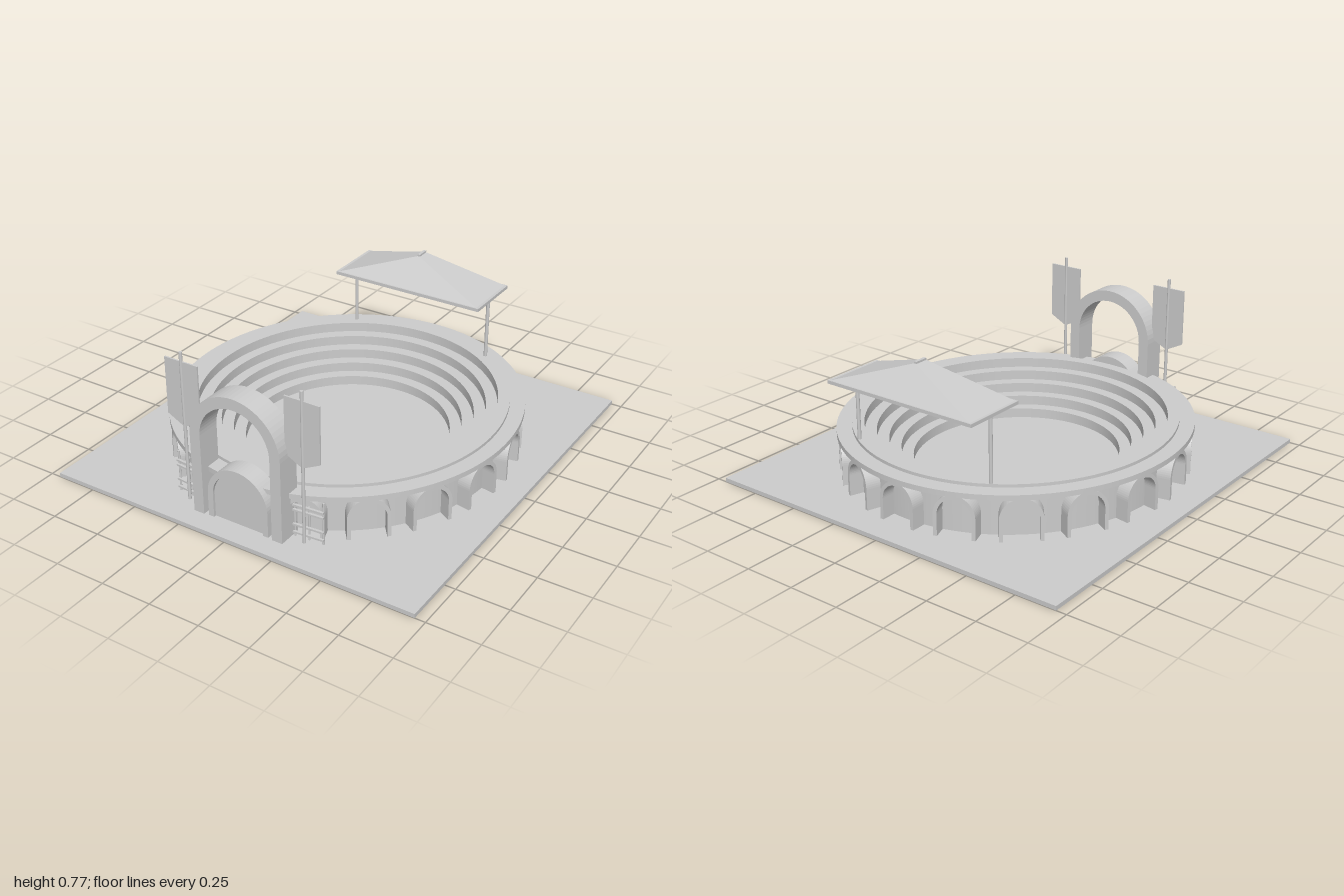
import * as THREE from 'three';

const stone = new THREE.MeshStandardMaterial({ color: 0xcccccc });
stone.name = 'pale stone';
const stoneSheet = new THREE.MeshStandardMaterial({ color: 0xcccccc, side: THREE.DoubleSide });
stoneSheet.name = 'pale stone sheet';

const GROUND = 0.02;

function add(parent, name, geometry, x = 0, y = 0, z = 0, material = stone) {
  const mesh = new THREE.Mesh(geometry, material);
  mesh.name = name;
  mesh.position.set(x, y, z);
  parent.add(mesh);
  return mesh;
}

function box(parent, name, w, h, d, x, y, z) {
  return add(parent, name, new THREE.BoxGeometry(w, h, d), x, y, z);
}

function post(parent, name, radius, y0, y1, x, z) {
  return add(parent, name, new THREE.CylinderGeometry(radius, radius, y1 - y0, 10), x, (y0 + y1) / 2, z);
}

// Round-headed arch standing on y = 0; thickness 0 gives a filled panel
function archGeometry(half, height, thickness, depth) {
  const spring = height - half;
  const shape = new THREE.Shape();
  shape.moveTo(half, 0);
  shape.lineTo(half, spring);
  shape.absarc(0, spring, half, 0, Math.PI, false);
  shape.lineTo(-half, 0);
  if (thickness > 0) {
    const inner = half - thickness;
    shape.lineTo(-inner, 0);
    shape.lineTo(-inner, spring);
    shape.absarc(0, spring, inner, Math.PI, 0, true);
    shape.lineTo(inner, 0);
  }
  shape.closePath();
  return new THREE.ExtrudeGeometry(shape, { depth, bevelEnabled: false, curveSegments: 16 });
}

// Ring with crisp edges: one short lathe per straight piece of the profile
function ring(parent, name, points) {
  const group = new THREE.Group();
  group.name = name;
  for (let i = 0; i < points.length - 1; i++) {
    const pair = [points[i], points[i + 1]].map(([r, y]) => new THREE.Vector2(r, y));
    add(group, name + 'Face', new THREE.LatheGeometry(pair, 96), 0, 0, 0, stoneSheet);
  }
  parent.add(group);
}

function buildArena() {
  const arena = new THREE.Group();
  arena.name = 'arena';
  arena.scale.x = 0.95;

  // Stepped seating, closed by the outer wall
  const tiers = 5, inner = 0.51, outer = 0.8, top = 0.26;
  const profile = [[outer, GROUND], [outer, top]];
  for (let i = tiers - 1; i >= 0; i--) {
    const r = inner + (outer - inner) * i / tiers;
    const rise = (top - GROUND) / tiers;
    profile.push([r, GROUND + rise * (i + 1)], [r, GROUND + rise * i]);
  }
  ring(arena, 'seating', profile);
  ring(arena, 'cornice', [[0.79, 0.22], [0.876, 0.22], [0.876, 0.245], [0.79, 0.245]]);

  // Arcade around the wall, leaving the front bay to the gate
  const bay = archGeometry(0.1, 0.202, 0.018, 0.08);
  for (let i = 1; i < 18; i++) {
    const a = i * Math.PI / 9;
    const arch = add(arena, 'arcadeArch', bay, Math.sin(a) * 0.785, GROUND, Math.cos(a) * 0.785);
    arch.rotation.y = a;
  }
  return arena;
}

function buildGate() {
  const gate = new THREE.Group();
  gate.name = 'gate';
  add(gate, 'greatArch', archGeometry(0.237, 0.643, 0.054, 0.12), 0, GROUND, 0.78);
  add(gate, 'doorArch', archGeometry(0.16, 0.28, 0.028, 0.095), 0, GROUND, 0.8);
  add(gate, 'doorPanel', archGeometry(0.135, 0.252, 0, 0.082), 0, GROUND, 0.8);
  return gate;
}

function buildBanner(side) {
  const banner = new THREE.Group();
  banner.name = side > 0 ? 'leftBanner' : 'rightBanner';
  post(banner, 'bannerPole', 0.008, GROUND, 0.77, 0, 0);
  const cloth = new THREE.Shape();
  [[-0.088, 0.724], [-0.088, 0.445], [0, 0.4], [0.088, 0.445], [0.088, 0.724]]
    .forEach(([x, y], i) => (i ? cloth.lineTo(x, y) : cloth.moveTo(x, y)));
  cloth.closePath();
  add(banner, 'bannerCloth', new THREE.ExtrudeGeometry(cloth, { depth: 0.008, bevelEnabled: false }), 0, 0, -0.004);
  banner.position.set(side * 0.311, 0, 0.839);
  return banner;
}

// Open rack of posts and rails beside the gate
function buildRack(side) {
  const rack = new THREE.Group();
  rack.name = side > 0 ? 'leftRack' : 'rightRack';
  for (const x of [-0.07, 0.0, 0.07]) post(rack, 'rackPost', 0.005, GROUND, x ? 0.23 : 0.19, x, 0);
  for (const y of [0.045, 0.085, 0.16, 0.185]) box(rack, 'rackRail', 0.15, 0.009, 0.012, 0, y, 0.008);
  rack.position.set(side * 0.318, 0, 0.81);
  rack.rotation.y = side * 0.08;
  return rack;
}

function buildCanopy() {
  const canopy = new THREE.Group();
  canopy.name = 'canopy';
  for (const s of [-1, 1]) {
    post(canopy, 'canopyPost', 0.009, 0.22, 0.585, s * 0.38, 0);
    box(canopy, 'eavesLong', 0.81, 0.016, 0.016, 0, 0.583, s * 0.15);
    box(canopy, 'eavesShort', 0.016, 0.016, 0.3, s * 0.397, 0.583, 0);
  }
  // Hipped roof rising to a short ridge
  const w = 0.4, d = 0.153, y = 0.588, peak = 0.725, r = 0.03;
  const p = [[-w, y, d], [w, y, d], [w, y, -d], [-w, y, -d], [0, peak, r], [0, peak, -r]];
  const faces = [0, 1, 4, 1, 2, 5, 1, 5, 4, 2, 3, 5, 3, 0, 4, 3, 4, 5];
  const roof = new THREE.BufferGeometry();
  roof.setAttribute('position', new THREE.Float32BufferAttribute(faces.flatMap((i) => p[i]), 3));
  roof.computeVertexNormals();
  add(canopy, 'canopyRoof', roof, 0, 0, 0, stoneSheet);
  box(canopy, 'canopyRidge', 0.014, 0.012, 0.064, 0, 0.726, 0);
  canopy.position.z = -0.682;
  return canopy;
}

export function createModel() {
  const model = new THREE.Group();
  model.name = 'amphitheatre';
  box(model, 'ground', 1.9, GROUND, 2, 0, GROUND / 2, 0);
  model.add(buildArena(), buildGate(), buildCanopy());
  for (const side of [-1, 1]) model.add(buildBanner(side), buildRack(side));
  return model;
}
